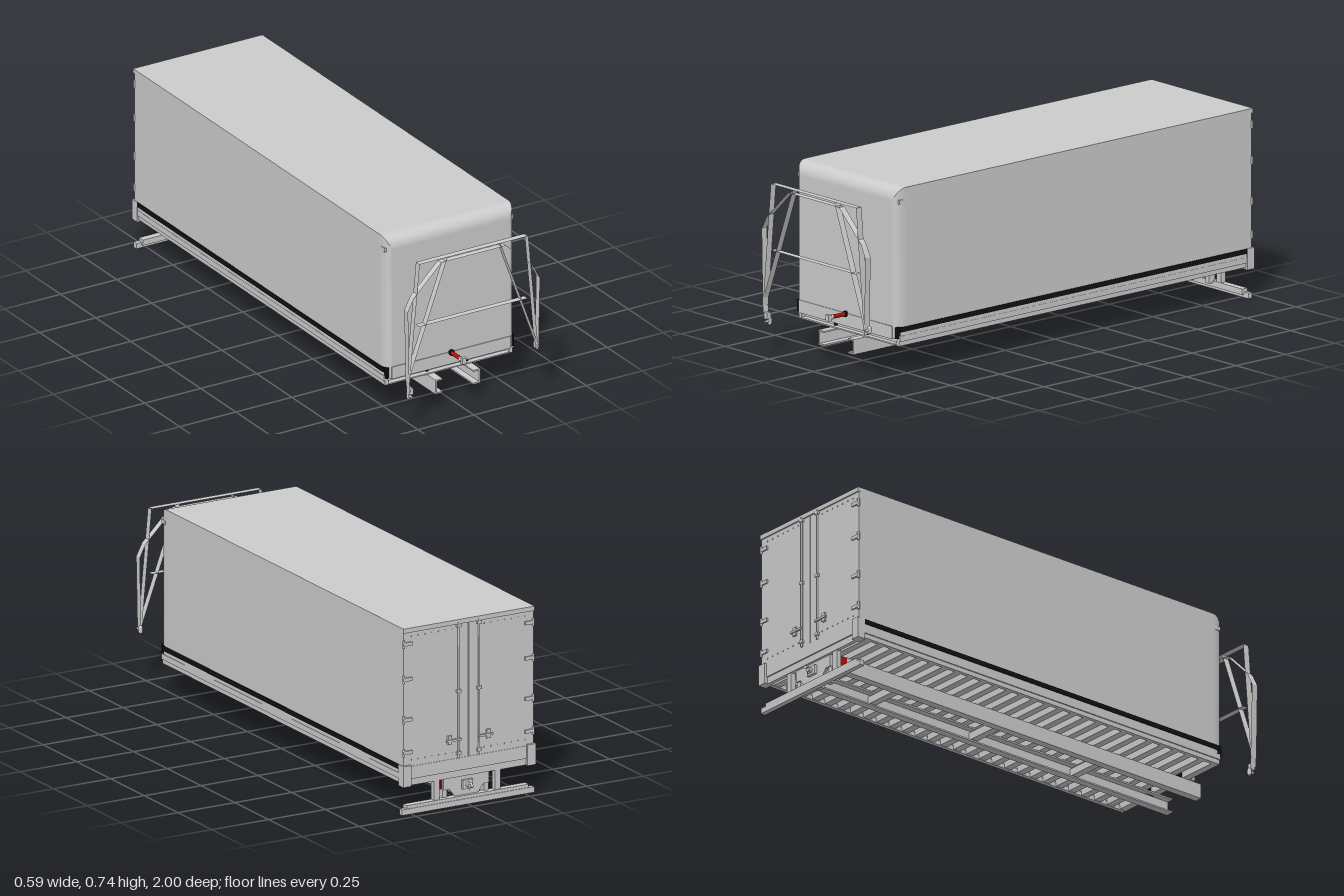
import * as THREE from 'three';

const grey = new THREE.MeshStandardMaterial({ color: 0xcccccc });
const thin = new THREE.MeshStandardMaterial({ color: 0xcccccc, side: THREE.DoubleSide });
const black = new THREE.MeshStandardMaterial({ color: 0x111111 });
const red = new THREE.MeshStandardMaterial({ color: 0xb01010 });

export function createModel() {
  const root = new THREE.Group();
  const add = (name, geo, mat = grey) => {
    const m = new THREE.Mesh(geo, mat);
    m.name = name;
    root.add(m);
    return m;
  };
  // box given by its limits
  const box = (name, x0, x1, y0, y1, z0, z1, mat) =>
    add(name, new THREE.BoxGeometry(x1 - x0, y1 - y0, z1 - z0)
      .translate((x0 + x1) / 2, (y0 + y1) / 2, (z0 + z1) / 2), mat);
  // the same box on both sides
  const pair = (name, x0, x1, ...rest) => {
    box(name, x0, x1, ...rest);
    box(name, -x1, -x0, ...rest);
  };
  const rod = (name, r, len, axis, x, y, z, mat, sides = 16) => {
    const g = new THREE.CylinderGeometry(r, r, len, sides);
    if (axis === 'x') g.rotateZ(Math.PI / 2);
    if (axis === 'z') g.rotateX(Math.PI / 2);
    return add(name, g.translate(x, y, z), mat);
  };
  // smooth strip between two equally long lines of points
  const strip = (name, a, b, mat = thin) => {
    const pos = [], idx = [];
    a.forEach((p, i) => {
      pos.push(...p, ...b[i]);
      if (i) idx.push(2 * i - 2, 2 * i - 1, 2 * i, 2 * i - 1, 2 * i + 1, 2 * i);
    });
    const g = new THREE.BufferGeometry();
    g.setAttribute('position', new THREE.Float32BufferAttribute(pos, 3));
    g.setIndex(idx);
    g.computeVertexNormals();
    return add(name, g, mat);
  };

  // Cargo body: sections along z, rounding inwards at the front
  const W = 0.288, TOP = 0.74, BOT = 0.152, BACK = -0.96, FRONT = 0.835;
  const sections = [[BACK, W, TOP], [0.78, W, TOP]];
  for (let i = 0; i <= 12; i++) {
    const t = (i / 12) * Math.PI / 2, c = 1 - Math.cos(t);
    sections.push([FRONT - 0.05 + 0.05 * Math.sin(t), W - 0.026 * c, TOP - 0.05 * c]);
  }
  const line = (s, lower) => sections.map(([z, w, h]) => [s * w, lower ? BOT : h, z]);
  strip('bodyRoof', line(-1), line(1));
  strip('bodyLeftWall', line(1), line(1, true));
  strip('bodyRightWall', line(-1, true), line(-1));
  box('bodyFrontWall', -W + 0.026, W - 0.026, BOT, TOP - 0.05, FRONT - 0.004, FRONT);
  box('floor', -W + 0.026, W - 0.026, 0.15, 0.158, BACK, FRONT - 0.005);
  box('frontLowerLip', -0.265, 0.265, 0.15, 0.2, FRONT - 0.004, FRONT + 0.003);
  pair('frontCornerClip', 0.272, 0.288, 0.678, 0.694, 0.795, 0.822);
  pair('frontCornerTrim', 0.272, 0.284, 0.152, 0.197, 0.8, 0.83, black);

  // Side rails with dark stripe
  pair('sideStripe', 0.284, 0.291, 0.177, 0.196, -0.94, 0.815, black);
  pair('sideRail', 0.272, 0.289, 0.14, 0.162, -0.945, 0.82);
  pair('lowerSideRail', 0.268, 0.284, 0.122, 0.14, -0.945, 0.82);

  // Cross beams under the floor
  for (let i = 0; i < 28; i++) {
    const z = -0.92 + i * 0.0635;
    box('crossBeamWeb', -0.27, 0.27, 0.126, 0.151, z, z + 0.008);
    box('crossBeamFlange', -0.27, 0.27, 0.124, 0.129, z, z + 0.03);
  }

  // Chassis rails, C-shaped in section
  const channel = new THREE.Shape([
    [0.1, 0.065], [0.1, 0.124], [0.068, 0.124], [0.068, 0.118],
    [0.094, 0.118], [0.094, 0.071], [0.068, 0.071], [0.068, 0.065],
  ].map(p => new THREE.Vector2(...p)));
  for (const s of [1, -1]) {
    const g = new THREE.ExtrudeGeometry(channel, { depth: 1.755, bevelEnabled: false });
    const rail = add('chassisRail', g.translate(0, 0, -0.87), thin);
    rail.scale.x = s;
  }
  pair('railTopPad', 0.085, 0.095, 0.118, 0.153, 0.76, 0.81, black);
  for (const z of [-0.6, -0.1, 0.4])
    box('chassisCrossMember', -0.094, 0.094, 0.08, 0.11, z, z + 0.03);

  // Red rail ends
  pair('railEndBlock', 0.076, 0.101, 0.066, 0.122, -0.93, -0.87, red);

  // Rear doors, hinges, locking rods and handles
  box('rearHeader', -W, W, 0.722, TOP, -0.972, -0.955);
  pair('rearDoor', 0.002, 0.286, 0.19, 0.722, -0.966, -0.955);
  for (const s of [1, -1]) {
    rod('lockRod', 0.004, 0.54, 'y', s * 0.045, 0.46, -0.97, grey, 8);
    for (const y of [0.205, 0.45, 0.71])
      box('rodBracket', s * 0.045 - 0.009, s * 0.045 + 0.009, y, y + 0.012, -0.975, -0.964);
    box('lockHandle', s * 0.07 - 0.032, s * 0.07 + 0.032, 0.262, 0.27, -0.979, -0.972);
    box('handleCatch', s * 0.085 - 0.008, s * 0.085 + 0.008, 0.25, 0.285, -0.975, -0.964);
    for (const y of [0.24, 0.37, 0.53, 0.67]) {
      box('hinge', s * 0.268 - 0.02, s * 0.268 + 0.02, y, y + 0.014, -0.972, -0.964);
      rod('hingePin', 0.005, 0.03, 'y', s * 0.285, y + 0.007, -0.968, grey, 8);
    }
    for (let i = 0; i < 7; i++)
      for (const y of [0.215, 0.705])
        rod('rivet', 0.003, 0.004, 'z', s * (0.07 + i * 0.03), y, -0.967, grey, 6);
  }

  // Rear sill with end blocks
  box('rearSill', -0.26, 0.26, 0.14, 0.19, -0.968, -0.945);
  box('rearSillLip', -0.26, 0.26, 0.113, 0.142, -0.962, -0.945);
  pair('rearEndBlock', 0.255, 0.291, 0.113, 0.196, -0.976, -0.94);

  // Underrun bumper and its hangers
  box('bumperLower', -0.291, 0.291, 0, 0.022, -0.965, -0.945);
  box('bumperUpper', -0.268, 0.268, 0.012, 0.035, -0.962, -0.935);
  pair('bumperHanger', 0.121, 0.146, 0.02, 0.125, -0.958, -0.937);
  pair('innerHanger', 0.018, 0.04, 0.035, 0.153, -0.9, -0.88);
  pair('railFoot', 0.082, 0.102, 0.027, 0.066, -0.945, -0.915);

  // Coupling plate with bored hole, and hook
  const plate = new THREE.Shape([
    [-0.1, 0.124], [-0.1, 0.066], [-0.075, 0.066], [-0.052, 0.036],
    [0.052, 0.036], [0.075, 0.066], [0.1, 0.066], [0.1, 0.124],
  ].map(p => new THREE.Vector2(...p)));
  plate.holes.push(new THREE.Path().absarc(0, 0.078, 0.012, 0, Math.PI * 2, true));
  add('couplingPlate', new THREE.ExtrudeGeometry(plate, { depth: 0.012, bevelEnabled: false })
    .translate(0, 0, -0.952), thin);
  rod('couplingShaft', 0.01, 0.05, 'z', 0, 0.078, -0.955);
  box('couplingFlange', -0.022, 0.022, 0.06, 0.096, -0.964, -0.952);
  add('couplingHook', new THREE.TorusGeometry(0.012, 0.005, 8, 20, 4.7)
    .rotateY(Math.PI / 2).translate(0, 0.075, -0.983));

  // Front supply coupling
  rod('supplyBase', 0.012, 0.012, 'z', 0, 0.197, 0.838, black);
  rod('supplyTube', 0.008, 0.075, 'z', 0, 0.197, 0.875, red);
  rod('supplyCollar', 0.01, 0.014, 'z', 0, 0.197, 0.913);
  box('supplyHead', -0.009, 0.009, 0.184, 0.209, 0.917, 0.931);

  // Front guard made of thin flat bands standing edge-on
  const band = (name, pts) => strip(name,
    pts.map(([x, y]) => [x, y, 0.973]), pts.map(([x, y]) => [x, y, 1]));
  // separate flat pieces keep the bends crisp
  const bands = (name, pts) => {
    for (let i = 1; i < pts.length; i++) band(name, [pts[i - 1], pts[i]]);
  };
  bands('guardTopBand', [[-0.242, 0.686], [0.24, 0.686]]);
  bands('guardMiddleBand', [[-0.243, 0.427], [0.24, 0.427]]);
  bands('guardUpperBand', [[-0.145, 0.67], [0.142, 0.67]]);
  for (const s of [1, -1]) {
    bands('guardOuterPost', [[s * 0.242, 0.686], [s * 0.287, 0.2]]);
    bands('guardInnerBrace', [[s * 0.118, 0.686], [s * 0.285, 0.23]]);
    bands('guardBentSide', [[s * 0.145, 0.67], [s * 0.268, 0.55], [s * 0.294, 0.5], [s * 0.288, 0.2]]);
  }

  // Rounded end fittings of the guard
  const fitting = (x, y) => {
    add('guardFitting', new THREE.CapsuleGeometry(0.008, 0.016, 6, 12).translate(x, y, 0.975));
    rod('guardFittingPin', 0.005, 0.025, 'z', x, y, 0.985, grey, 10);
  };
  fitting(0.289, 0.215);
  fitting(-0.276, 0.14);
  box('guardFittingLink', -0.285, -0.268, 0.15, 0.175, 0.976, 0.996);
  bands('guardFittingStrap', [[-0.287, 0.2], [-0.284, 0.165]]);

  return root;
}
